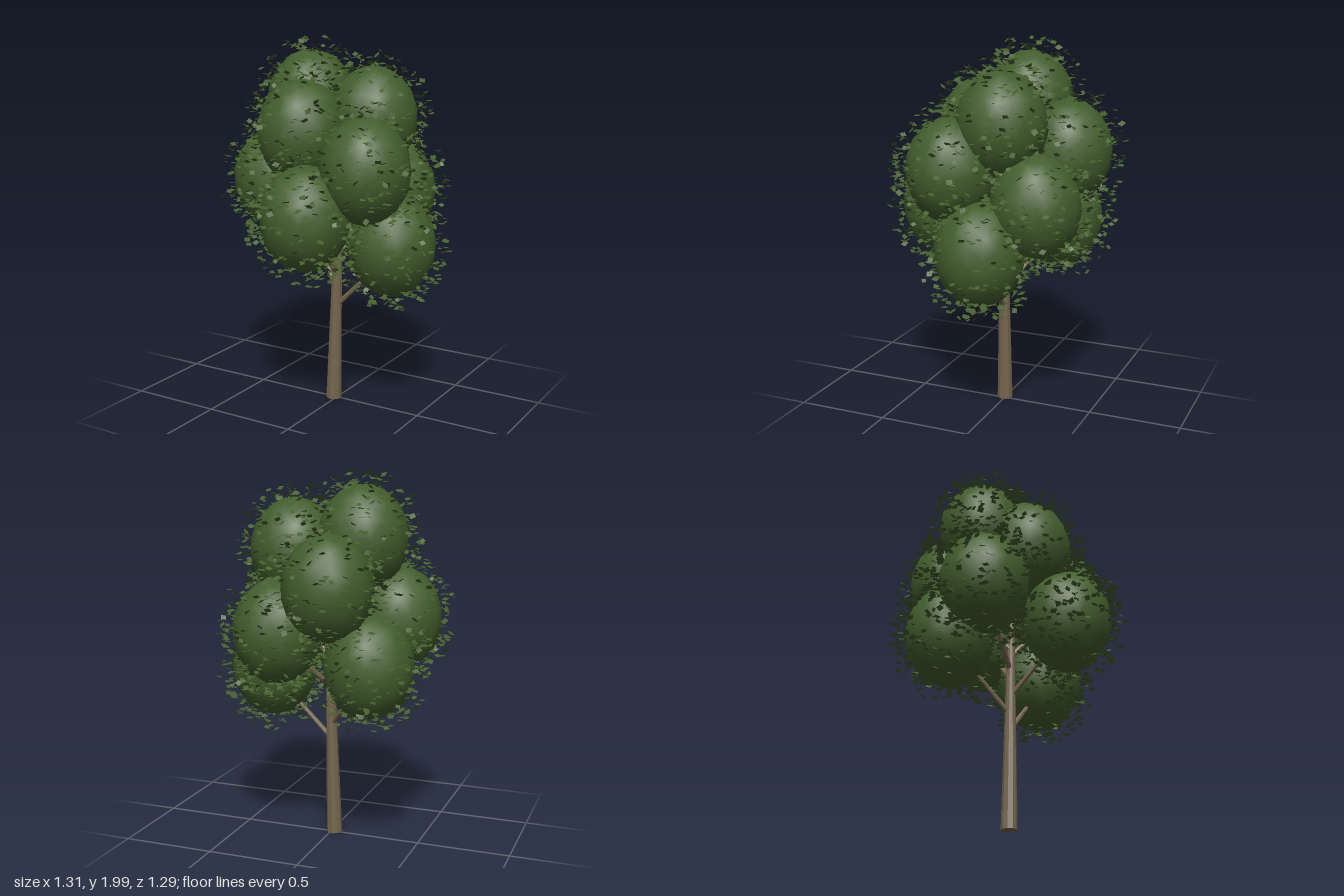
import * as THREE from 'three';
import { mergeGeometries } from 'three/addons/utils/BufferGeometryUtils.js';

// Small seeded random generator
function makeRandom(seed) {
  return () => {
    seed = (seed * 1664525 + 1013904223) % 4294967296;
    return seed / 4294967296;
  };
}

// Foliage clump centres
const CLUMPS = [
  [0.01, 1.09, 0.338], [-0.11, 1.505, 0.17], [0.27, 1.335, 0.185], [-0.2, 1.645, -0.065],
  [0.18, 1.57, -0.06], [-0.357, 1.225, 0.04], [0.33, 0.925, 0.0], [-0.285, 1.005, -0.21],
  [-0.1, 1.41, -0.315], [0.2, 1.165, -0.255],
].map((p) => new THREE.Vector3(...p));
const RADII = new THREE.Vector3(0.237, 0.278, 0.237);

// Tapered round limb between two points
function limb(from, to, r0, r1, sides) {
  const a = new THREE.Vector3(...from);
  const dir = new THREE.Vector3(...to).sub(a);
  const geo = new THREE.CylinderGeometry(r1, r0, dir.length(), sides);
  geo.translate(0, dir.length() / 2, 0);
  geo.applyQuaternion(new THREE.Quaternion().setFromUnitVectors(
    new THREE.Vector3(0, 1, 0), dir.clone().normalize()));
  return geo.translate(a.x, a.y, a.z);
}

// Slightly lumpy egg with a coarse outline and smooth shading
function clumpGeometry(rand) {
  const geo = new THREE.IcosahedronGeometry(1, 2);
  geo.rotateX(rand() * 6).rotateY(rand() * 6);
  const phase = rand() * 6;
  const pos = geo.attributes.position;
  const v = new THREE.Vector3();
  for (let i = 0; i < pos.count; i++) {
    v.fromBufferAttribute(pos, i);
    const lump = Math.sin(v.x * 4 + phase) * Math.sin(v.y * 4 + phase * 2) * Math.cos(v.z * 4);
    v.multiplyScalar(1 + 0.02 * lump);
    pos.setXYZ(i, v.x, v.y, v.z);
  }
  return geo.scale(RADII.x, RADII.y, RADII.z);
}

// Random direction spread evenly over a sphere
function randomDirection(rand) {
  const y = rand() * 2 - 1;
  const angle = rand() * Math.PI * 2;
  const r = Math.sqrt(1 - y * y);
  return new THREE.Vector3(r * Math.cos(angle), y, r * Math.sin(angle));
}

function insideAnyClump(point) {
  return CLUMPS.some((c) => point.clone().sub(c).divide(RADII).length() < 0.94);
}

// Loose diamond leaves hovering around one clump, tilted every way but mostly lying flat
function leavesAround(centre, rand) {
  const leaves = [];
  for (let i = 0; i < 480; i++) {
    const dir = randomDirection(rand);
    const pos = dir.clone().multiply(RADII).add(centre).addScaledVector(dir, rand() * 0.09 - 0.01);
    const size = 0.021 + rand() * 0.009;
    const turn = rand() * Math.PI * 2;
    const tilt = (rand() - 0.5) * 1.7;
    const spin = rand() * Math.PI * 2;
    if (insideAnyClump(pos) || pos.y > 1.985) continue;
    const leaf = new THREE.PlaneGeometry(size, size);
    leaf.rotateZ(Math.PI / 4).scale(0.92, 1.1, 1);
    leaf.rotateZ(spin).rotateX(-Math.PI / 2 + tilt).rotateY(turn);
    leaves.push(leaf.translate(pos.x, pos.y, pos.z));
  }
  return mergeGeometries(leaves);
}

export function createModel() {
  const tree = new THREE.Group();
  tree.name = 'tree';
  const rand = makeRandom(7);

  const bark = new THREE.MeshStandardMaterial({ color: 0x75664f, flatShading: true });
  bark.name = 'bark brown';
  const foliage = new THREE.MeshStandardMaterial({ color: 0x435d2d });
  foliage.name = 'foliage green';
  const leafGreen = new THREE.MeshStandardMaterial({ color: 0x455e2e, side: THREE.DoubleSide });
  leafGreen.name = 'leaf green';

  const add = (name, geometry, material) => {
    const mesh = new THREE.Mesh(geometry, material);
    mesh.name = name;
    tree.add(mesh);
    return mesh;
  };

  // Trunk, leaning very slightly
  add('trunk', limb([-0.018, 0, 0.005], [0.015, 1.3, 0], 0.043, 0.016, 10), bark);

  // Branches reaching into the clumps
  const branches = [
    [[0.0, 0.54, 0.003], [0.33, 0.87, 0]],
    [[-0.005, 0.62, 0.003], [-0.26, 0.95, -0.19]],
    [[0.0, 0.72, 0], [0.01, 1.02, 0.3]],
    [[0.0, 0.83, 0], [0.2, 1.12, -0.25]],
    [[0.0, 0.88, 0], [-0.34, 1.18, 0.04]],
    [[0.0, 0.95, 0], [0.26, 1.3, 0.17]],
    [[0.0, 1.0, 0], [-0.1, 1.36, -0.3]],
    [[0.01, 1.25, 0], [-0.18, 1.6, -0.06]],
  ];
  branches.forEach(([from, to]) => add('branch', limb(from, to, 0.015, 0.008, 8), bark));

  // Foliage clumps, each turned differently, with their leaves
  CLUMPS.forEach((centre) => {
    add('foliageClump', clumpGeometry(rand), foliage).position.copy(centre);
    add('leaves', leavesAround(centre, rand), leafGreen);
  });

  return tree;
}
